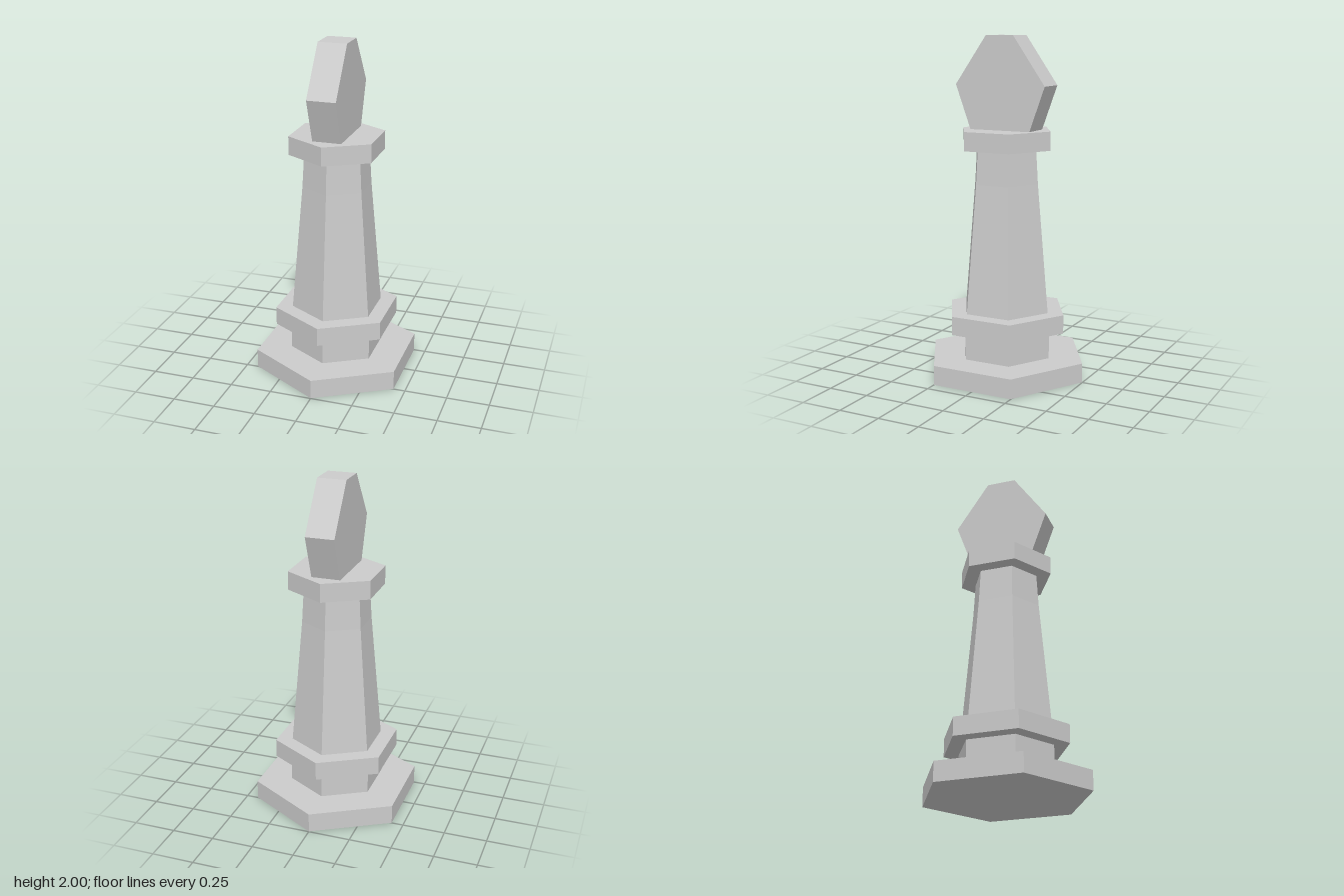
import * as THREE from 'three';

const material = new THREE.MeshStandardMaterial({ color: 0xcccccc, flatShading: true });

// Six-sided tier with a corner facing the front
function tier(name, bottomRadius, topRadius, y0, y1, open = false) {
  const geometry = new THREE.CylinderGeometry(topRadius, bottomRadius, y1 - y0, 6, 1, open);
  const mesh = new THREE.Mesh(geometry, material);
  mesh.position.y = (y0 + y1) / 2;
  mesh.name = name;
  return mesh;
}

export function createModel() {
  const group = new THREE.Group();
  group.name = 'chessPiece';

  // Stepped foot
  group.add(tier('base', 0.497, 0.497, 0, 0.115));
  group.add(tier('neck', 0.283, 0.283, 0.115, 0.28));
  group.add(tier('ring', 0.375, 0.375, 0.28, 0.39));

  // Tapering shaft, steeper near the top
  group.add(tier('lowerShaft', 0.274, 0.206, 0.39, 1.15, true));
  group.add(tier('upperShaft', 0.206, 0.194, 1.15, 1.35, true));
  group.add(tier('collar', 0.284, 0.284, 1.35, 1.46));

  // Flat faceted head: side profile (z, y) extruded across x
  const half = [[0.172, 1.41], [0.285, 1.718], [0.087, 2]];
  const outline = [...half, ...half.map(([z, y]) => [-z, y]).reverse()];
  const shape = new THREE.Shape(outline.map(([z, y]) => new THREE.Vector2(z, y)));
  const headGeometry = new THREE.ExtrudeGeometry(shape, { depth: 0.17, bevelEnabled: false });
  headGeometry.translate(0, 0, -0.085).rotateY(Math.PI / 2);
  const head = new THREE.Mesh(headGeometry, material);
  head.name = 'head';
  group.add(head);

  return group;
}
